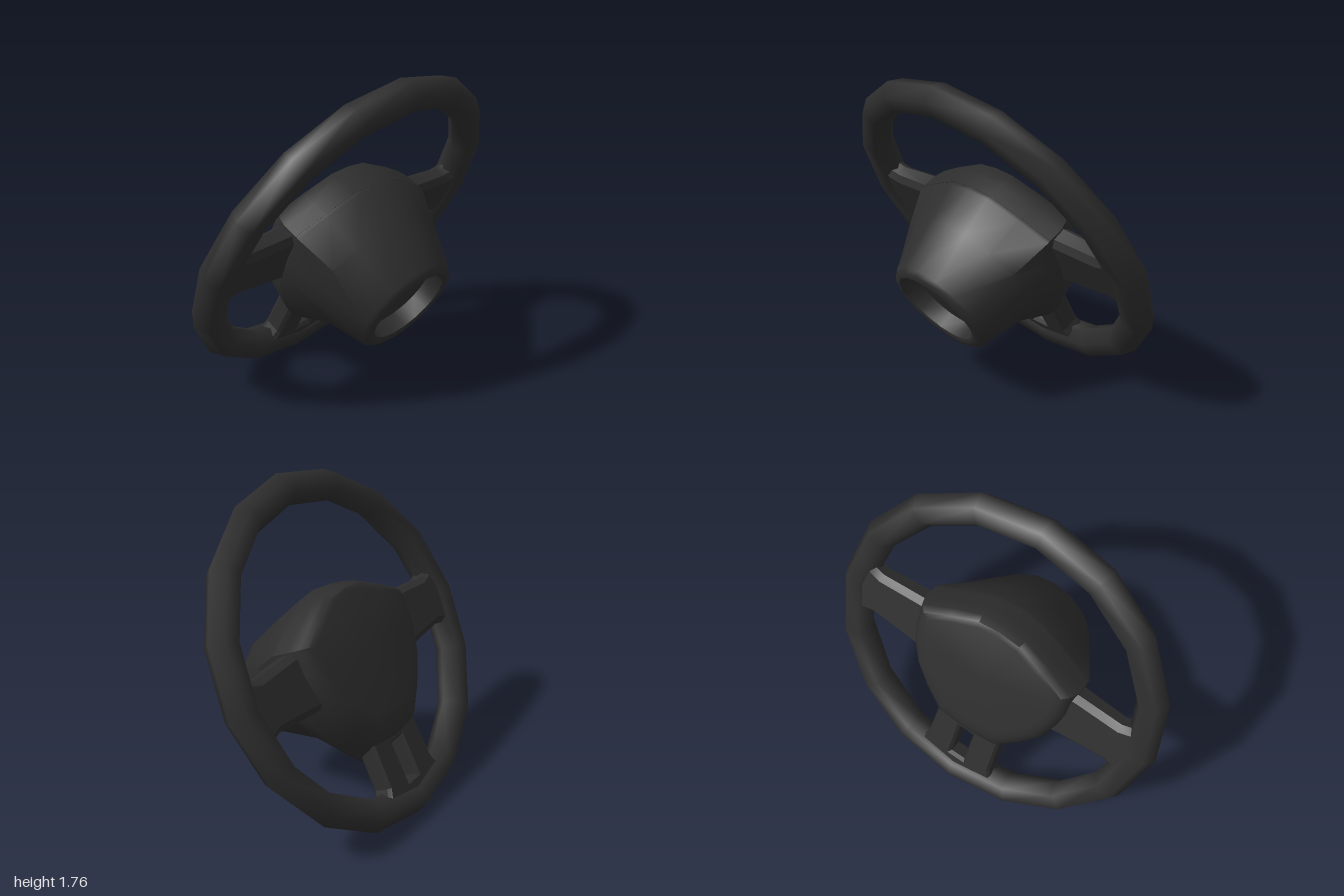
import * as THREE from 'three';
import { toCreasedNormals } from 'three/addons/utils/BufferGeometryUtils.js';

const material = new THREE.MeshStandardMaterial({ color: 0x2d2d2d });
material.name = 'black plastic';

// Skin over rings of [x, y, z] points (counter-clockwise seen from +z), closed at both ends
function loft(rings, crease = 0.6) {
  const n = rings[0].length;
  const pos = [];
  const tri = (a, b, c) => pos.push(...a, ...b, ...c);
  for (let r = 0; r < rings.length - 1; r++) {
    const A = rings[r], B = rings[r + 1];
    for (let i = 0; i < n; i++) {
      const j = (i + 1) % n;
      tri(A[i], A[j], B[j]);
      tri(A[i], B[j], B[i]);
    }
  }
  const middle = (ring) => [0, 1, 2].map((k) => ring.reduce((s, p) => s + p[k], 0) / n);
  const first = rings[0], last = rings[rings.length - 1];
  const m0 = middle(first), m1 = middle(last);
  for (let i = 0; i < n; i++) {
    const j = (i + 1) % n;
    tri(m0, first[j], first[i]);
    tri(m1, last[i], last[j]);
  }
  const g = new THREE.BufferGeometry();
  g.setAttribute('position', new THREE.Float32BufferAttribute(pos, 3));
  return toCreasedNormals(g, crease);
}

function part(name, geometry) {
  const mesh = new THREE.Mesh(geometry, material);
  mesh.name = name;
  return mesh;
}

// Half outline of the hub, top to bottom, and matching angles on the round column end
const hubHalf = [[0, 0.355], [0.14, 0.34], [0.32, 0.255], [0.49, 0.16], [0.49, 0.0],
  [0.47, -0.12], [0.41, -0.3], [0.31, -0.45], [0.19, -0.59], [0, -0.615]];
const endAngles = [0, 22, 45, 68, 90, 106, 123, 141, 160, 180];

function mirrorLoop(half, z) {
  const left = half.map(([x, y]) => [-x, y, z]);
  const right = half.slice(1, -1).reverse().map(([x, y]) => [x, y, z]);
  return [...left, ...right];
}

const hubRing = (z, sx, up, down) =>
  mirrorLoop(hubHalf.map(([x, y]) => [x * sx, y * (y > 0 ? up : down)]), z);

const endHalf = (rx, top, bottom) => endAngles.map((deg) => {
  const a = THREE.MathUtils.degToRad(deg);
  return [rx * Math.sin(a), (top + bottom) / 2 + (top - bottom) / 2 * Math.cos(a)];
});

// Blend of the hub outline into the column end; the underside closes in sooner
function blendRing(z, t, tLow) {
  const end = endHalf(0.32, 0.205, -0.383);
  return mirrorLoop(hubHalf.map(([x, y], i) => {
    const k = y < -0.2 ? tLow : t;
    return [x + (end[i][0] - x) * k, y + (end[i][1] - y) * k];
  }), z);
}

export function createModel() {
  const model = new THREE.Group();
  model.name = 'steeringWheel';
  const wheel = new THREE.Group();
  wheel.name = 'tiltedWheel';
  wheel.position.set(0, 0.888, -0.038);
  wheel.rotation.x = 0.49;
  model.add(wheel);

  // Rim
  wheel.add(part('rim', new THREE.TorusGeometry(0.91, 0.09, 6, 16)));

  // Centre pad on the driver's side
  wheel.add(part('centrePad', loft([
    hubRing(-0.138, 0.8, 0.8, 0.6),
    hubRing(-0.13, 0.88, 0.88, 0.7),
    hubRing(-0.09, 0.96, 0.94, 0.83),
    hubRing(-0.03, 1, 0.97, 0.92),
    hubRing(0.06, 1, 1, 0.99),
  ], 0.8)));

  // Column housing with a dished end
  wheel.add(part('columnHousing', loft([
    hubRing(0.06, 0.995, 0.995, 0.99),
    blendRing(0.08, 0, 0),
    blendRing(0.29, 0.42, 0.62),
    blendRing(0.555, 1, 1),
    mirrorLoop(endHalf(0.3, 0.185, -0.355), 0.577),
    mirrorLoop(endHalf(0.265, 0.155, -0.32), 0.585),
    mirrorLoop(endHalf(0.25, 0.14, -0.3), 0.575),
    mirrorLoop(endHalf(0.24, 0.13, -0.295), 0.48),
  ], 0.8)));

  // Side spokes: chamfered sections from hub to rim
  const section = (z, half, top, bottom) => {
    const c = 0.035, w = half - 0.03;
    return [[w, bottom], [half, bottom + c], [half, top - c], [w, top],
      [-w, top], [-half, top - c], [-half, bottom + c], [-w, bottom]].map(([x, y]) => [x, y, z]);
  };
  const spokeGeometry = loft([
    section(0.4, 0.07, 0.15, -0.19),
    section(0.5, 0.068, 0.145, -0.18),
    section(0.76, 0.062, 0.125, -0.16),
    section(0.82, 0.062, 0.145, -0.18),
    section(0.9, 0.06, 0.2, -0.24),
  ]);
  for (const side of [1, -1]) {
    const spoke = part(side > 0 ? 'leftSpoke' : 'rightSpoke', spokeGeometry);
    spoke.rotation.y = side * Math.PI / 2;
    wheel.add(spoke);
  }

  // Lower spoke with a slot through the middle
  const shape = new THREE.Shape([[-0.19, -0.48], [-0.2, -0.76], [-0.25, -0.87],
    [0.25, -0.87], [0.2, -0.76], [0.19, -0.48]].map(([x, y]) => new THREE.Vector2(x, y)));
  shape.holes.push(new THREE.Path([[-0.06, -0.55], [0.06, -0.55], [0.06, -0.81],
    [-0.06, -0.81]].map(([x, y]) => new THREE.Vector2(x, y))));
  const lower = new THREE.ExtrudeGeometry(shape, {
    depth: 0.08, bevelEnabled: true, bevelThickness: 0.02, bevelSize: 0.015, bevelSegments: 1,
  });
  lower.translate(0, 0, -0.04);
  wheel.add(part('lowerSpoke', lower));

  return model;
}
